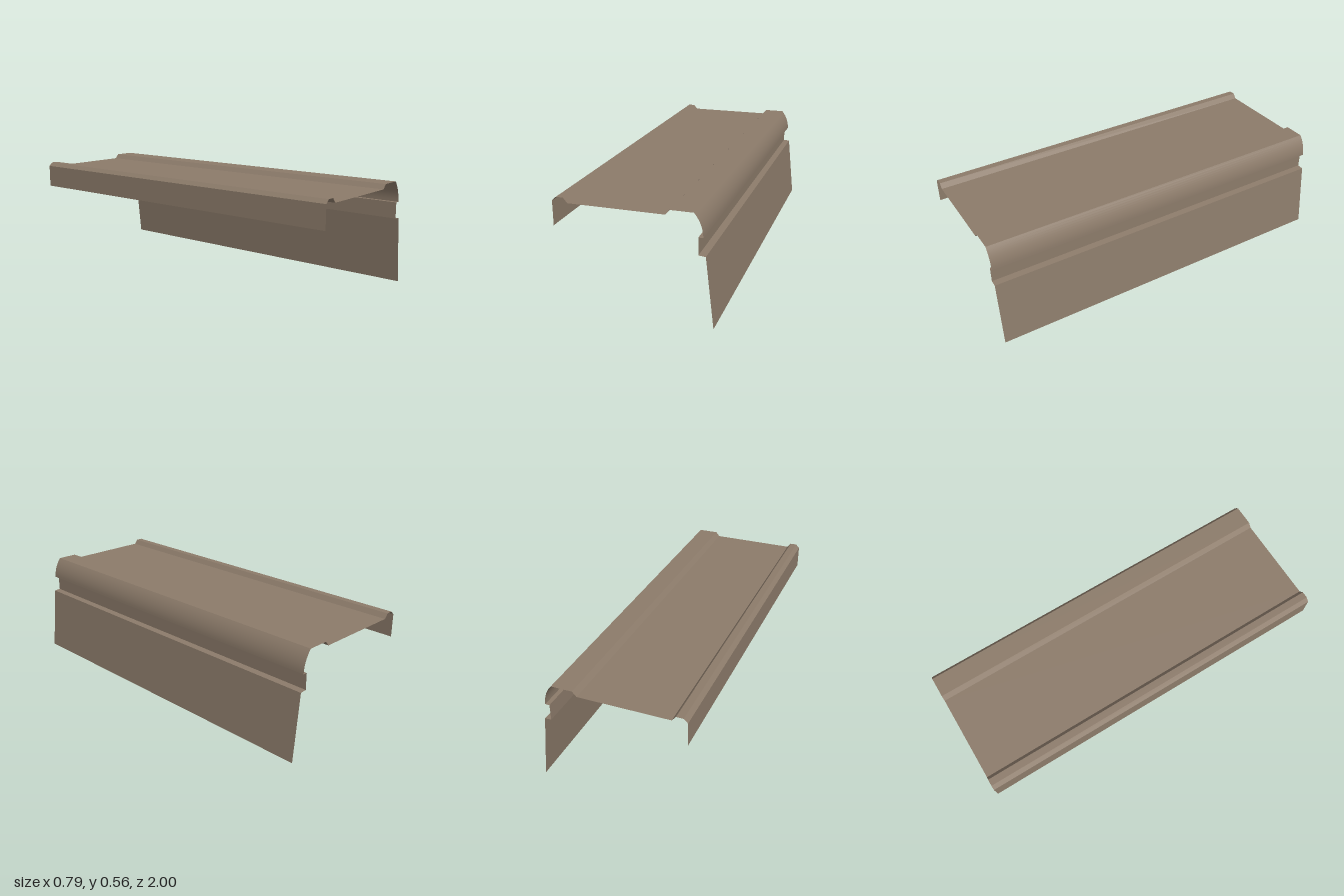
import * as THREE from 'three';

// Sheet strip swept along z; normals are smooth within one strip.
function stripGeometry(points) {
  const pos = [], index = [];
  points.forEach(([x, y], i) => {
    pos.push(x, y, 1, x, y, -1);
    if (i > 0) {
      const a = 2 * (i - 1), b = 2 * i;
      index.push(a, b, b + 1, a, b + 1, a + 1);
    }
  });
  const geo = new THREE.BufferGeometry();
  geo.setAttribute('position', new THREE.Float32BufferAttribute(pos, 3));
  geo.setIndex(index);
  geo.computeVertexNormals();
  return geo;
}

export function createModel() {
  const group = new THREE.Group();
  group.name = 'profiledSheet';
  const brown = new THREE.MeshStandardMaterial({ color: 0x8c7b6a, side: THREE.DoubleSide });
  brown.name = 'brown sheet';

  const add = (name, points) => {
    const mesh = new THREE.Mesh(stripGeometry(points), brown);
    mesh.name = name;
    group.add(mesh);
  };

  // Rounded shoulder: circular arc that ends vertical at its foot
  const r = 0.175, cx = 0.168, cy = 0.45, start = Math.asin(0.115 / r), steps = 10;
  const arc = [];
  for (let i = 0; i <= steps; i++) {
    const t = start * (1 - i / steps);
    arc.push([cx + r * Math.cos(t), cy + r * Math.sin(t)]);
  }
  const top = arc[0], foot = arc[steps];

  // Flat panels, from the short flange on the right to the shoulder
  add('shortFlange', [[-0.393, 0.42], [-0.393, 0.545]]);
  add('rightBevel', [[-0.393, 0.545], [-0.372, 0.565]]);
  add('rightRib', [[-0.372, 0.565], [-0.335, 0.565]]);
  add('rightRibSlope', [[-0.335, 0.565], [-0.315, 0.54]]);
  add('mainPanel', [[-0.315, 0.54], [0.165, 0.54]]);
  add('leftRibSlope', [[0.165, 0.54], [0.187, 0.565]]);
  add('leftRib', [[0.187, 0.565], top]);
  add('roundedShoulder', arc);

  // Recessed groove and the long skirt
  add('grooveSoffit', [foot, [0.32, 0.45]]);
  add('grooveBack', [[0.32, 0.45], [0.32, 0.363]]);
  add('grooveLedge', [[0.32, 0.363], [0.355, 0.36]]);
  add('longSkirt', [[0.355, 0.36], [0.393, 0]]);
  return group;
}
